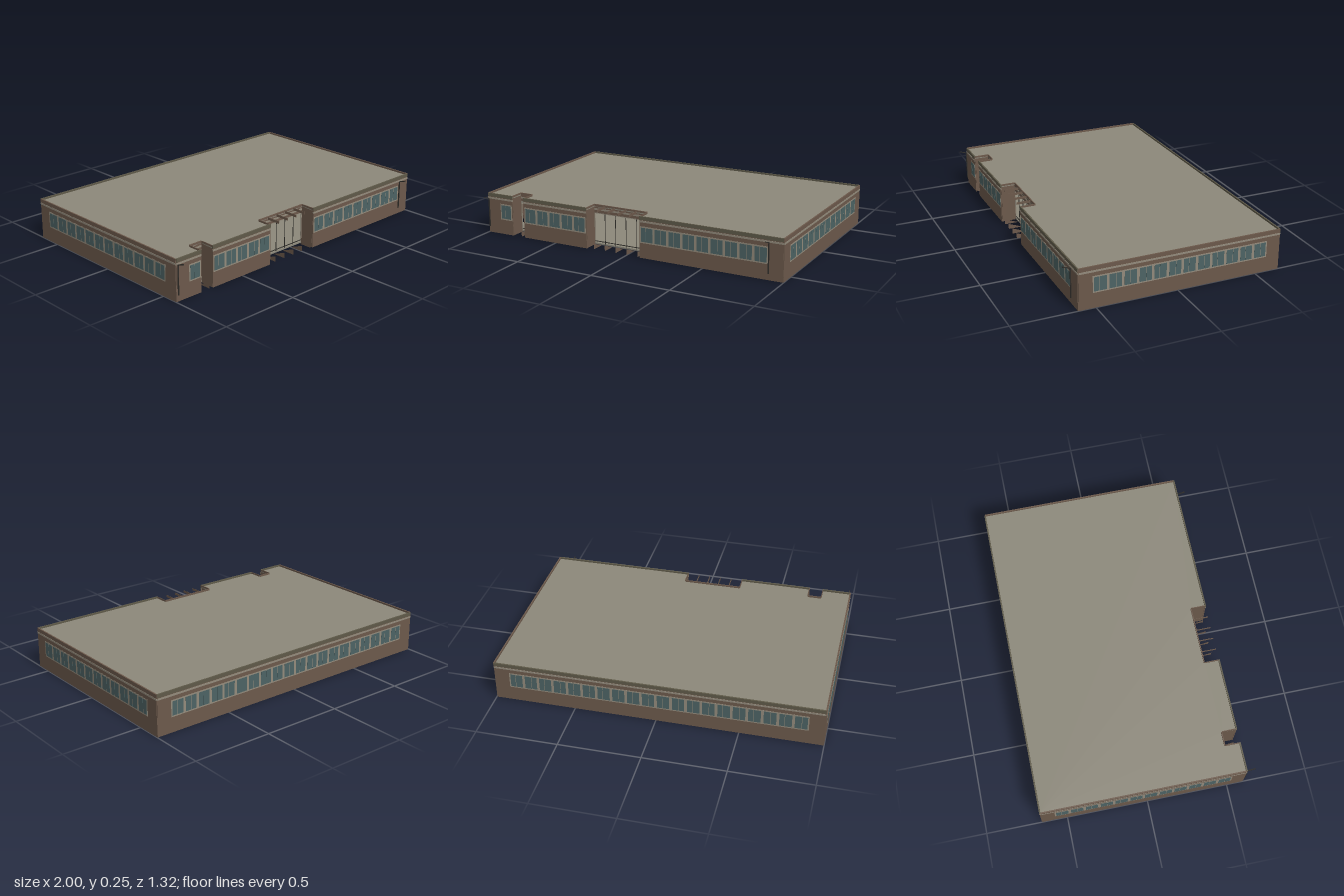
import * as THREE from 'three';

const material = (name, color, double) => {
  const m = new THREE.MeshStandardMaterial({ color });
  m.name = name;
  if (double) m.side = THREE.DoubleSide;
  return m;
};

export function createModel() {
  const model = new THREE.Group();
  model.name = 'lowOfficeBuilding';

  const brown = material('brownWall', 0x6c594b, true);
  const grey = material('roofGrey', 0x8c887a, true);
  const trim = material('paleTrim', 0x938b7c);
  const glass = material('tealGlass', 0x4d6364);
  const olive = material('oliveCoping', 0x5f5a49);
  const dark = material('darkMetal', 0x2f2d29);

  // Box given by its limits
  const box = (parent, name, mat, x0, x1, y0, y1, z0, z1) => {
    const mesh = new THREE.Mesh(new THREE.BoxGeometry(x1 - x0, y1 - y0, z1 - z0), mat);
    mesh.position.set((x0 + x1) / 2, (y0 + y1) / 2, (z0 + z1) / 2);
    mesh.name = name;
    parent.add(mesh);
    return mesh;
  };

  const H = 0.255;
  const FRONT = 0.603, BACK = -0.655, SIDE = 0.996, INSET = 0.09;
  const recesses = [[-0.815, -0.73], [-0.275, 0.09]];

  // Window strip in local x: pale frame with pairs of panes, seen from both sides
  const windowStrip = (parent, x0, x1) => {
    box(parent, 'windowFrame', trim, x0, x1, 0.093, 0.195, -0.004, 0.004);
    const count = Math.max(1, Math.round((x1 - x0) / 0.091));
    const step = (x1 - x0) / count;
    for (let i = 0; i < count; i++) {
      const a = x0 + i * step + step * 0.09, b = x0 + (i + 1) * step - step * 0.09;
      const split = a + (b - a) * (i % 2 ? 0.55 : 0.43);
      box(parent, 'windowPane', glass, a, split - 0.0015, 0.101, 0.187, -0.0048, 0.0048);
      box(parent, 'windowPane', glass, split + 0.0015, b, 0.101, 0.187, -0.0048, 0.0048);
    }
  };

  // Straight wall with cornice, coping and optional windows [start, end] along it
  const wall = (name, length, x, z, turn, windows, coping) => {
    const g = new THREE.Group();
    g.name = name;
    const h = length / 2;
    box(g, 'wallPanel', brown, -h, h, 0, 0.25, -0.003, 0.003);
    box(g, 'corniceBand', trim, -h, h, 0.219, 0.23, -0.0035, 0.005);
    box(g, 'parapetBand', coping, -h, h, 0.234, H, -0.004, 0.0045);
    if (windows) windowStrip(g, windows[0], windows[1]);
    g.position.set(x, 0, z);
    g.rotation.y = turn;
    model.add(g);
  };

  const depth = FRONT - BACK, midZ = (FRONT + BACK) / 2;
  wall('backWall', 2 * SIDE, 0, BACK, Math.PI, [-0.905, 0.905], olive);
  wall('leftWall', depth, SIDE, midZ, Math.PI / 2, [-0.545, 0.545], brown);
  wall('rightWall', depth, -SIDE, midZ, -Math.PI / 2, [-0.545, 0.545], brown);

  // Front wall pieces between the two open recesses
  [[-SIDE, -0.815, -0.905, -0.82], [-0.73, -0.275, -0.725, -0.28], [0.09, SIDE, 0.095, 0.905]]
    .forEach(([a, b, w0, w1]) => {
      const mid = (a + b) / 2;
      wall('frontWall', b - a, mid, FRONT, 0, [w0 - mid, w1 - mid], olive);
    });

  // Roof and floor outlines, with a notch at each recess
  const slab = (name, x, zBack, zFront, notched, y, thickness) => {
    const s = new THREE.Shape();
    s.moveTo(-x, -zBack);
    s.lineTo(-x, -zFront);
    if (notched) {
      for (const [a, b] of recesses) {
        s.lineTo(a, -zFront);
        s.lineTo(a, -(zFront - INSET));
        s.lineTo(b, -(zFront - INSET));
        s.lineTo(b, -zFront);
      }
    }
    s.lineTo(x, -zFront);
    s.lineTo(x, -zBack);
    const mesh = new THREE.Mesh(
      new THREE.ExtrudeGeometry(s, { depth: thickness, bevelEnabled: false }), grey);
    mesh.rotation.x = -Math.PI / 2;
    mesh.position.y = y;
    mesh.name = name;
    model.add(mesh);
  };
  slab('roof', 0.994, BACK, FRONT, true, 0.238, 0.006);
  const inX = SIDE - INSET, inBack = BACK + INSET, inFront = FRONT - INSET;
  slab('floor', inX, inBack, inFront, false, 0.004, 0.008);

  // Recess sides, lintel and pale opening frame
  for (const [a, b] of recesses) {
    for (const [x, s] of [[a, -1], [b, 1]]) {
      box(model, 'recessSide', brown, x + (s < 0 ? -0.004 : 0), x + (s < 0 ? 0 : 0.004),
        0, H, inFront, FRONT - 0.004);
      const fx = s < 0 ? x : x - 0.005;
      box(model, 'openingJamb', trim, fx, fx + 0.005, 0.004, 0.203, inFront - 0.005, inFront);
    }
    box(model, 'recessLintel', brown, a, b, 0.203, H, inFront - 0.006, inFront);
    box(model, 'recessCornice', trim, a, b, 0.219, 0.23, inFront, inFront + 0.001);
    box(model, 'openingHead', trim, a, b, 0.198, 0.203, inFront - 0.005, inFront);
    box(model, 'openingSill', dark, a, b, 0.02, 0.024, inFront - 0.004, inFront);
    // Slim posts and upper brackets across the opening
    const n = Math.round((b - a) / 0.075);
    for (let i = 1; i < n; i++) {
      const x = a + (b - a) * i / n;
      box(model, 'openingPost', dark, x - 0.001, x + 0.001, 0.004, 0.2, inFront - 0.004, inFront);
      box(model, 'upperBracket', brown, x - 0.001, x + 0.001, 0.235, 0.25, inFront, FRONT);
    }
  }

  // Triangular brackets joining the walls to the floor edge
  const triangle = new THREE.BufferGeometry().setFromPoints([
    new THREE.Vector3(0, 0, 0), new THREE.Vector3(0, 0, -INSET), new THREE.Vector3(0, 0.035, 0)]);
  triangle.computeVertexNormals();
  const bracketRow = (x0, z0, x1, z1, turn, n) => {
    for (let i = 0; i <= n; i++) {
      const t = i / n;
      const m = new THREE.Mesh(triangle, brown);
      m.position.set(x0 + (x1 - x0) * t, 0.001, z0 + (z1 - z0) * t);
      m.rotation.y = turn;
      m.name = 'floorBracket';
      model.add(m);
    }
  };
  bracketRow(-inX, FRONT, inX, FRONT, 0, 24);
  bracketRow(-inX, BACK, inX, BACK, Math.PI, 24);
  bracketRow(SIDE, inBack, SIDE, inFront, Math.PI / 2, 14);
  bracketRow(-SIDE, inBack, -SIDE, inFront, -Math.PI / 2, 14);

  // Footing plates and a long access cover under the floor
  for (const x of [-0.5, -0.04, 0.41]) {
    for (const z of [-0.255, 0.195]) {
      box(model, 'footingPlate', grey, x - 0.045, x + 0.045, 0, 0.005, z - 0.045, z + 0.045);
    }
  }
  box(model, 'accessCover', grey, -0.73, -0.29, 0, 0.005, -0.51, -0.45);

  // Slim front poles with a raised arm
  for (const x of [-0.988, 0.91]) {
    box(model, 'frontPole', dark, x - 0.003, x + 0.003, 0.04, 0.222, 0.609, 0.615);
    const arm = box(model, 'poleArm', dark, x - 0.003, x + 0.003, 0.226, 0.231, 0.609, 0.66);
    arm.rotation.x = -0.33;
  }

  return model;
}
